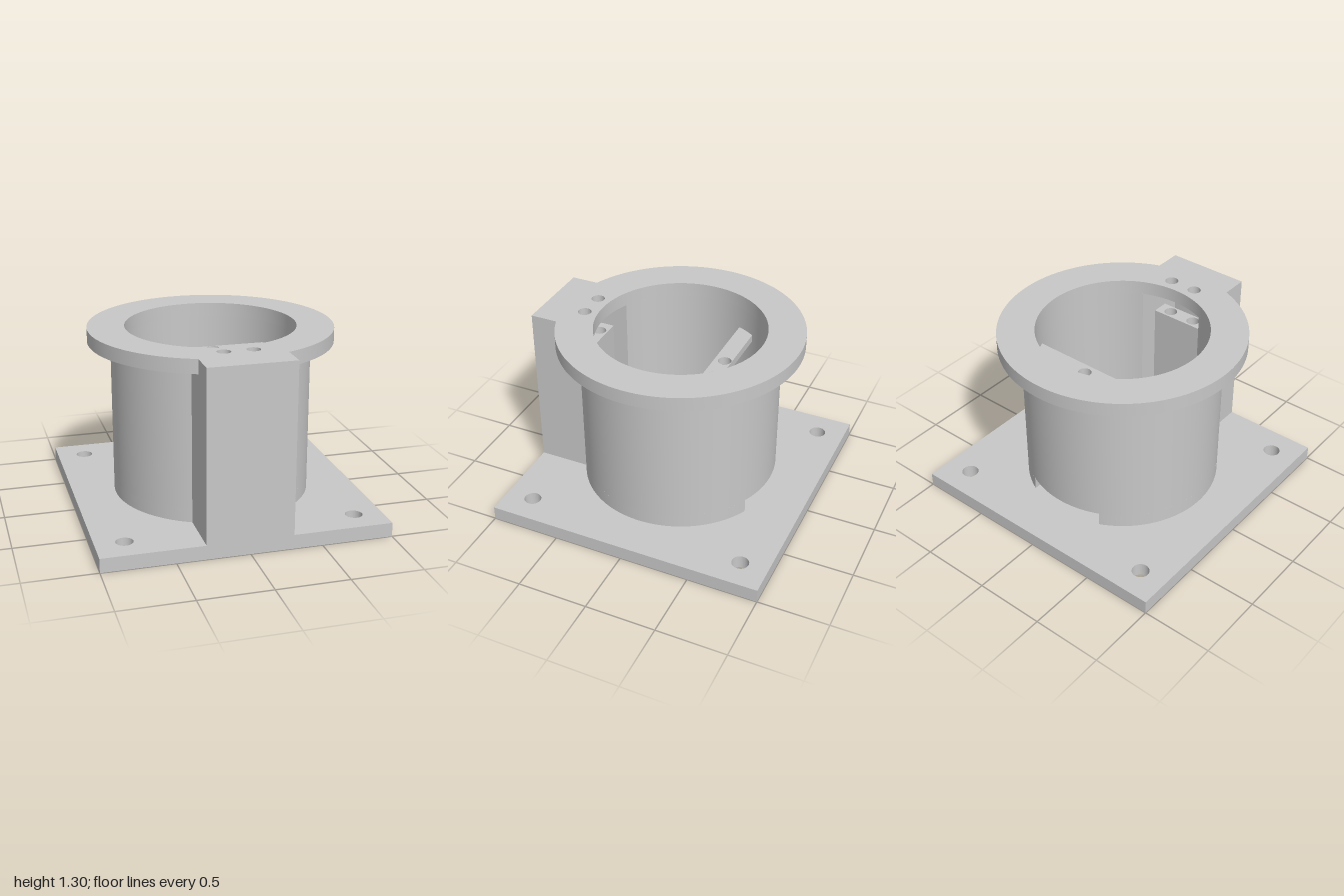
import * as THREE from 'three';
import { toCreasedNormals } from 'three/addons/utils/BufferGeometryUtils.js';

const BORE = 0.6, WALL = 0.7, FLANGE = 0.86;

// Plan outlines are drawn in (x, z), all anticlockwise
function circle(x, z, r) {
  return new THREE.Path().absarc(x, z, r, 0, Math.PI * 2, false);
}

function rect(x0, z0, x1, z1) {
  return new THREE.Shape([[x0, z0], [x1, z0], [x1, z1], [x0, z1]].map(p => new THREE.Vector2(...p)));
}

// Circle of radius r joined to a rectangular front bay of half-width w reaching z = d
function keyhole(r, w, d) {
  const a = Math.acos(w / r);
  const s = new THREE.Shape();
  s.absarc(0, 0, r, Math.PI - a, Math.PI * 2 + a, false);
  s.lineTo(w, d);
  s.lineTo(-w, d);
  s.closePath();
  return s;
}

// Wall plan with the gap at the back
function notchedWall() {
  const a = Math.acos(0.3 / WALL), b = Math.acos(0.25 / BORE), c = Math.acos(0.3 / BORE);
  const s = new THREE.Shape();
  s.absarc(0, 0, WALL, -a, a, false);
  s.lineTo(0.3, 1);
  s.lineTo(-0.3, 1);
  s.absarc(0, 0, WALL, Math.PI - a, Math.PI + a, false);
  s.absarc(0, 0, BORE, Math.PI + c, Math.PI - b, true);
  s.lineTo(-0.25, 0.95);
  s.lineTo(0.25, 0.95);
  s.absarc(0, 0, BORE, b, -c, true);
  s.closePath();
  return s;
}

export function createModel() {
  const group = new THREE.Group();
  const grey = new THREE.MeshStandardMaterial({ color: 0xc8c8c8 });
  grey.name = 'grey';

  // Extrudes a plan outline from y0 up to y1
  function slab(name, shape, y0, y1, holes = []) {
    shape.holes.push(...holes);
    const geo = new THREE.ExtrudeGeometry(shape, { depth: y1 - y0, bevelEnabled: false, curveSegments: 64 });
    geo.rotateX(Math.PI / 2).translate(0, y1, 0);
    const mesh = new THREE.Mesh(toCreasedNormals(geo, 0.5), grey);
    mesh.name = name;
    group.add(mesh);
  }
  const screwPair = z => [-0.1, 0.1].map(x => circle(x, z, 0.047));

  // Base plate with four corner holes
  const corners = [];
  for (const x of [-0.8, 0.8]) for (const z of [-0.8, 0.8]) corners.push(circle(x, z, 0.06));
  slab('basePlate', rect(-1, -1, 1, 1), 0, 0.1, corners);

  // Housing: notched foot, main wall with hollow front bay, top flange
  slab('notchedFoot', notchedWall(), 0.1, 0.2);
  slab('housingWall', keyhole(WALL, 0.3, 1), 0.2, 1.2, [keyhole(BORE, 0.25, 0.95)]);
  slab('topFlange', keyhole(FLANGE, 0.3, 1), 1.2, 1.3, [circle(0, 0, BORE), ...screwPair(0.69)]);

  // Mounting post inside the front bay, with drilled top
  slab('mountingPost', rect(-0.2, 0.63, 0.2, 0.75), 0.1, 0.94);
  slab('mountingPostTop', rect(-0.2, 0.63, 0.2, 0.75), 0.94, 1.035, screwPair(0.69));

  // Cross bar spanning the bore, its ends following the round wall
  const a0 = Math.asin(0.215 / BORE), a1 = Math.asin(0.34 / BORE);
  const bar = new THREE.Shape();
  bar.absarc(0, 0, BORE, -a1, -a0, false);
  bar.absarc(0, 0, BORE, Math.PI + a0, Math.PI + a1, false);
  bar.closePath();
  slab('crossBar', bar, 0.98, 1.035, screwPair(-0.29));

  return group;
}
